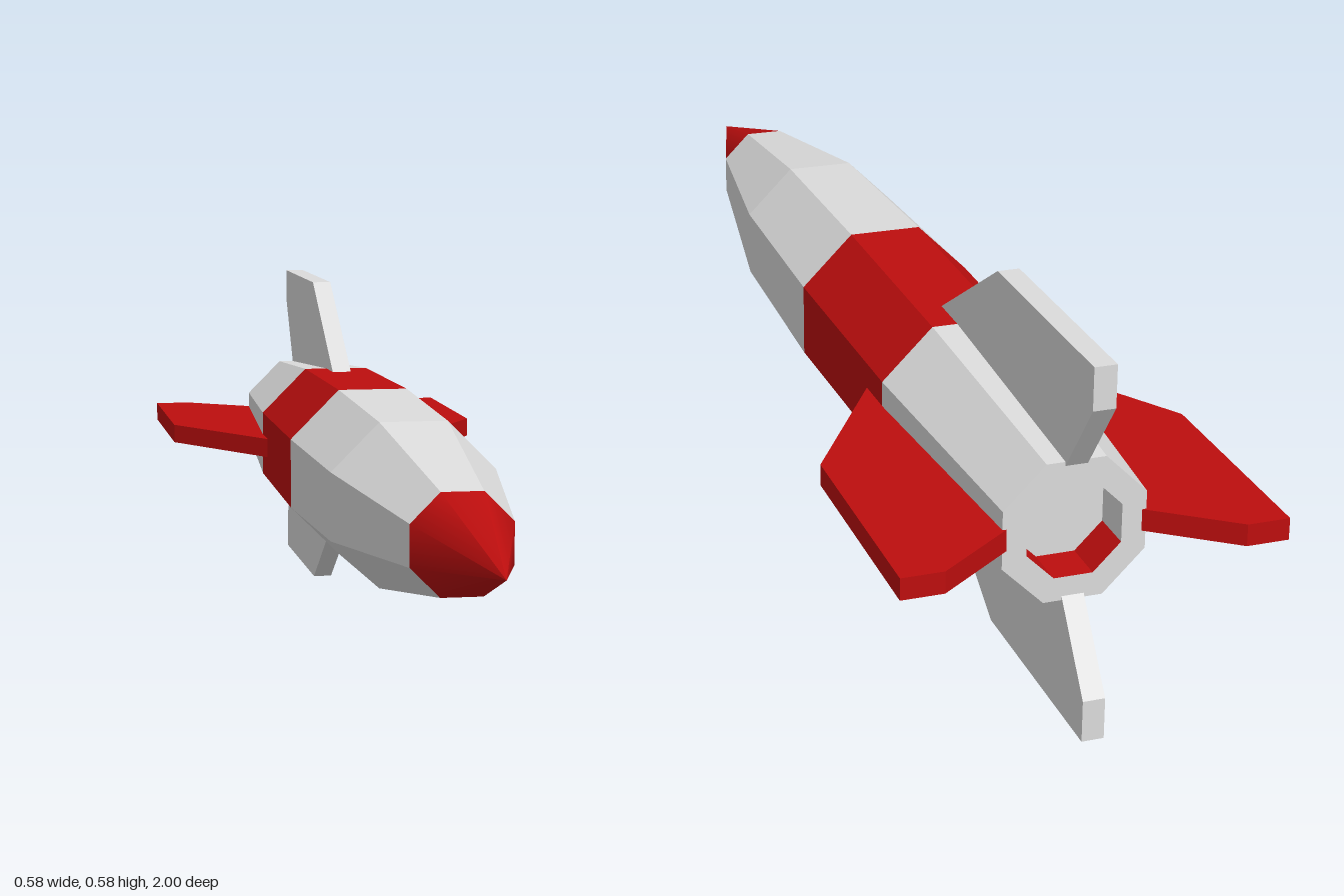
import * as THREE from 'three';

const SIDES = 8;
const TURN = Math.PI / SIDES; // puts flat sides on the axes
const CORNER = 1 / Math.cos(TURN); // flat radius to corner radius
const AXIS_Y = 0.29;

function flat(geometry) {
  const g = geometry.toNonIndexed();
  g.computeVertexNormals();
  return g;
}

// Octagonal tube along z from the front ring to the back ring
function tube(zFront, rFront, zBack, rBack, start = TURN, sides = SIDES) {
  const g = new THREE.CylinderGeometry(rFront * CORNER, rBack * CORNER, zFront - zBack,
    sides, 1, true, start, sides * 2 * TURN);
  return g.rotateX(Math.PI / 2).translate(0, 0, (zFront + zBack) / 2);
}

export function createModel() {
  const white = new THREE.MeshStandardMaterial({ color: 0xdcdcdc });
  white.name = 'white paint';
  const red = new THREE.MeshStandardMaterial({ color: 0xbd0e0e });
  red.name = 'red paint';

  const rocket = new THREE.Group();
  rocket.name = 'rocket';
  const add = (name, geometry, material) => {
    const mesh = new THREE.Mesh(geometry, material);
    mesh.name = name;
    rocket.add(mesh);
    return mesh;
  };

  // Smooth pointed nose
  add('noseCone', tube(1, 0, 0.71, 0.078), red);

  // Faceted hull sections
  const hull = [
    ['frontHull', 0.71, 0.078, 0.33, 0.134, white],
    ['middleHull', 0.33, 0.134, -0.05, 0.144, white],
    ['hullBand', -0.05, 0.144, -0.46, 0.139, red],
    ['tailHull', -0.46, 0.139, -0.91, 0.109, white],
  ];
  for (const [name, z1, r1, z2, r2, material] of hull) {
    add(name, flat(tube(z1, r1, z2, r2)), material);
  }

  // Exhaust: rim, recessed walls facing inwards and a floor
  const hole = 0.072, depth = 0.07;
  const rim = new THREE.RingGeometry(hole * CORNER, 0.109 * CORNER, SIDES, 1, TURN);
  add('exhaustRim', rim.rotateY(Math.PI).translate(0, 0, -0.91), white);
  const floor = new THREE.CircleGeometry(hole * CORNER, SIDES, TURN);
  add('exhaustFloor', floor.rotateY(Math.PI).translate(0, 0, -0.91 + depth), white);
  const wall = (start, sides) => {
    const g = tube(-0.91 + depth, hole, -0.91, hole, start, sides);
    return flat(g.scale(-1, 1, 1));
  };
  add('exhaustLowerWall', wall(-3 * TURN, 3), red);
  add('exhaustUpperWall', wall(3 * TURN, 5), white);

  // Four swept fins: red at the sides, white above and below
  const thickness = 0.034;
  const outline = [[0.13, -0.37], [0.29, -0.63], [0.29, -1], [0.225, -1], [0.1, -0.908], [0.1, -0.5]];
  const shape = new THREE.Shape(outline.map(([r, z]) => new THREE.Vector2(r, z)));
  const finGeometry = new THREE.ExtrudeGeometry(shape, { depth: thickness, bevelEnabled: false });
  finGeometry.translate(0, 0, -thickness / 2).rotateX(Math.PI / 2);
  ['leftFin', 'topFin', 'rightFin', 'bottomFin'].forEach((name, i) => {
    add(name, finGeometry, i % 2 ? white : red).rotation.z = i * Math.PI / 2;
  });

  rocket.position.y = AXIS_Y;
  const model = new THREE.Group();
  model.name = 'model';
  model.add(rocket);
  return model;
}
